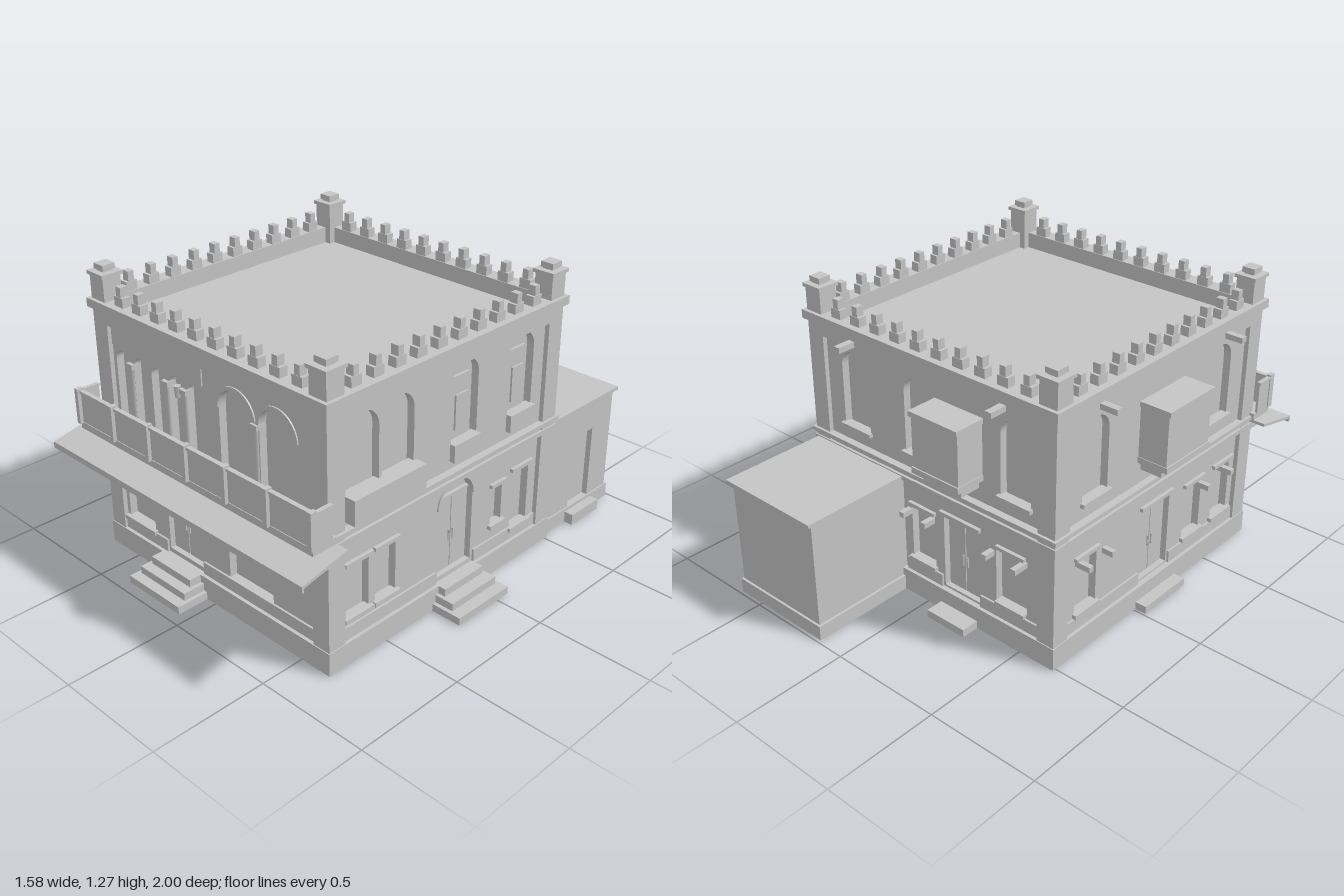
import * as THREE from 'three';

const CX = -0.0125, CZ = 0.145;   // centre of the main block
const WALL = 0.636, CORE = 0.602; // distance of wall face and of recesses from the centre

export function createModel() {
  const stone = new THREE.MeshStandardMaterial({ color: 0xc4c4c4 });
  stone.name = 'pale stone';
  const root = new THREE.Group();
  root.name = 'house';

  const add = (parent, name, geo) => {
    const m = new THREE.Mesh(geo, stone);
    m.name = name;
    parent.add(m);
    return m;
  };
  // box from min/max pairs
  const box = (parent, name, x0, x1, y0, y1, z0, z1) => {
    const m = add(parent, name, new THREE.BoxGeometry(Math.abs(x1 - x0), y1 - y0, Math.abs(z1 - z0)));
    m.position.set((x0 + x1) / 2, (y0 + y1) / 2, (z0 + z1) / 2);
    return m;
  };
  const extrude = (parent, name, shape, depth, z) => {
    const m = add(parent, name, new THREE.ExtrudeGeometry(shape, { depth, bevelEnabled: false, curveSegments: 12 }));
    m.position.z = z;
    return m;
  };
  // outline of an opening: rectangular, or round-headed with its crown at y1
  const outline = (path, u, w, y0, y1, arch) => {
    const r = w / 2;
    path.moveTo(u - r, y0);
    path.lineTo(u + r, y0);
    if (arch) {
      path.lineTo(u + r, y1 - r);
      path.absarc(u, y1 - r, r, 0, Math.PI, false);
    } else {
      path.lineTo(u + r, y1);
      path.lineTo(u - r, y1);
    }
    path.lineTo(u - r, y0);
    return path;
  };

  const house = new THREE.Group();
  house.name = 'mainBlock';
  house.position.set(CX, 0, CZ);
  root.add(house);

  // core with the roof deck on top and the raised floor below
  box(house, 'coreAndRoof', -CORE, CORE, 0.09, 1.055, -CORE, CORE);

  // square rings: hollow plinth, string courses, parapet
  const ring = (name, outer, inner, y0, y1) => {
    const s = outline(new THREE.Shape(), 0, 2 * outer, -outer, outer, false);
    s.holes.push(outline(new THREE.Path(), 0, 2 * inner, -inner, inner, false));
    const m = extrude(house, name, s, y1 - y0, 0);
    m.rotation.x = -Math.PI / 2;
    m.position.y = y0;
  };
  ring('plinth', 0.66, 0.6, 0, 0.1);
  ring('floorBandLower', 0.662, 0.6, 0.535, 0.555);
  ring('floorBandMiddle', 0.65, 0.6, 0.555, 0.575);
  ring('floorBandUpper', 0.668, 0.6, 0.575, 0.592);
  ring('frieze', 0.656, 0.6, 1.03, 1.09);
  ring('corniceUpper', 0.672, 0.6, 1.088, 1.125);

  // corner pilasters with capped posts above the roof
  for (const sx of [-1, 1]) for (const sz of [-1, 1]) {
    const c = new THREE.Group();
    c.name = 'cornerPost';
    c.position.set(sx * 0.614, 0, sz * 0.614);
    house.add(c);
    box(c, 'pilaster', -0.042, 0.042, 0.1, 1.225, -0.042, 0.042);
    box(c, 'postCap', -0.05, 0.05, 1.225, 1.24, -0.05, 0.05);
    box(c, 'postNeck', -0.022, 0.022, 1.24, 1.247, -0.022, 0.022);
    box(c, 'postKnob', -0.029, 0.029, 1.247, 1.27, -0.029, 0.029);
  }

  // one facade: wall with openings, plus merlons on its parapet
  const facade = (name, angle, toU, openings) => {
    const g = new THREE.Group();
    g.name = name;
    g.rotation.y = angle;
    house.add(g);
    const wall = outline(new THREE.Shape(), 0, 1.2, 0.1, 1.05, false);
    for (const [c, w, y0, y1, arch] of openings) {
      wall.holes.push(outline(new THREE.Path(), toU(c), w, y0, y1, arch));
    }
    extrude(g, 'wall', wall, WALL - CORE + 0.005, CORE - 0.005);
    for (let i = 0; i < 10; i++) {
      const u = (i - 4.5) * 0.111;
      box(g, 'merlonBase', u - 0.026, u + 0.026, 1.125, 1.165, 0.604, 0.642);
      box(g, 'merlonTop', u - 0.014, u + 0.014, 1.165, 1.206, 0.606, 0.64);
    }
    // block on this facade: centre, width, heights, back and front depth
    const block = (n, c, w, y0, y1, z0, z1) => box(g, n, toU(c) - w / 2, toU(c) + w / 2, y0, y1, z0, z1);
    const dado = (a, b) => block('dado', (a + b) / 2, Math.abs(b - a), 0.1, 0.155, 0.62, 0.645);
    const archTrim = (c, w, crown, t = 0.012) => {
      const r = w / 2, s = new THREE.Shape();
      s.absarc(toU(c), crown - r, r + t, 0, Math.PI, false);
      s.absarc(toU(c), crown - r, r, Math.PI, 0, true);
      extrude(g, 'archTrim', s, 0.01, WALL - 0.004);
    };
    const sill = (c, w, y) => block('sill', c, w + 0.03, y - 0.012, y + 0.006, 0.61, 0.655);
    const lintel = (c, w, y) => block('lintel', c, w + 0.025, y, y + 0.016, 0.61, 0.652);
    const doubleDoor = (c, w, y0, y1) => {
      for (const s of [-1, 1]) {
        box(g, 'doorLeaf', toU(c) + s * 0.002, toU(c) + s * w / 2, y0, y1, 0.59, 0.612);
        block('doorHandle', c + s * 0.012, 0.005, (y0 + y1) / 2 - 0.03, (y0 + y1) / 2 + 0.02, 0.605, 0.618);
      }
      block('transom', c, w, y1, y1 + 0.01, 0.59, 0.618);
    };
    const steps = (c, w, list) => list.forEach(([y, d], i) =>
      block('step', c, w - i * 0.035, i ? list[i - 1][0] : 0, y, 0.645, d));
    const beam = (c, y, d, w = 0.024) => block('beamEnd', c, w, y, y + 0.024, 0.61, d);
    // closed bay hung on brackets
    const bay = (c, w) => {
      block('bayBody', c, w - 0.012, 0.715, 0.94, 0.62, 0.768);
      block('bayLid', c, w, 0.935, 0.957, 0.62, 0.778);
      block('bayFloor', c, w - 0.006, 0.69, 0.716, 0.62, 0.774);
      block('bayBracket', c, w - 0.05, 0.65, 0.69, 0.62, 0.735);
    };
    return { g, block, dado, archTrim, sill, lintel, doubleDoor, steps, beam, bay };
  };

  // front, behind the balcony
  const loggia = [-0.522, -0.41, -0.298, -0.19, -0.083];
  const f = facade('frontFacade', 0, x => x - CX, [
    ...loggia.map(c => [c, 0.088, 0.61, 0.932, true]),
    [0.153, 0.19, 0.61, 0.99, true], [0.374, 0.19, 0.61, 0.99, true],
    [-0.48, 0.17, 0.165, 0.415, false], [-0.195, 0.21, 0.12, 0.51, true], [0.2, 0.25, 0.155, 0.42, false],
  ]);
  f.dado(-0.585, -0.31); f.dado(-0.08, 0.56);
  f.sill(-0.48, 0.17, 0.16);
  f.block('signPanel', -0.48, 0.19, 0.43, 0.475, 0.62, 0.645);
  f.block('signPanel', 0.195, 0.27, 0.45, 0.49, 0.62, 0.645);
  f.block('shopLintel', 0.2, 0.26, 0.418, 0.432, 0.61, 0.645);
  f.doubleDoor(-0.205, 0.19, 0.1, 0.415);
  f.archTrim(-0.195, 0.21, 0.51);
  f.steps(-0.207, 0.315, [[0.033, 0.805], [0.066, 0.76], [0.1, 0.715]]);
  f.block('loggiaPanel', -0.465, 0.23, 0.948, 1.02, 0.62, 0.642);
  f.block('loggiaPanel', -0.19, 0.32, 0.948, 1.02, 0.62, 0.642);
  for (const c of [0.153, 0.374]) f.archTrim(c, 0.19, 0.99, 0.014);
  for (const x of [-0.466, -0.244, -0.136, 0.263]) {
    const col = add(f.g, 'column', new THREE.CylinderGeometry(0.011, 0.012, 0.28, 12));
    col.position.set(x - CX, 0.74, 0.634);
    f.block('columnCapital', x, 0.036, 0.88, 0.9, 0.615, 0.652);
  }
  const lamp = add(f.g, 'lantern', new THREE.CylinderGeometry(0.016, 0.01, 0.05, 6));
  lamp.position.set(-0.19 - CX, 0.87, 0.632);

  // side with the high steps (+x)
  const sideWindows = [[0.635, 0.12, 0.19, 0.42], [0.485, 0.11, 0.19, 0.42],
    [-0.17, 0.07, 0.22, 0.4], [-0.322, 0.11, 0.15, 0.42]];
  const r = facade('stepSideFacade', Math.PI / 2, z => CZ - z, [
    [0.61, 0.17, 0.62, 1.015, true], [0.425, 0.17, 0.62, 1.015, true],
    [0.055, 0.15, 0.62, 1.03, true], [-0.285, 0.15, 0.62, 1.03, true],
    [0.085, 0.2, 0.12, 0.53, true], ...sideWindows,
  ]);
  r.dado(0.72, 0.2); r.dado(-0.03, -0.43);
  for (const [c, w, y0, y1] of sideWindows) { r.sill(c, w, y0); r.lintel(c, w, y1); }
  r.doubleDoor(0.085, 0.19, 0.1, 0.45);
  r.archTrim(0.085, 0.2, 0.53);
  r.steps(0.085, 0.3, [[0.033, 0.8], [0.066, 0.748], [0.1, 0.694]]);
  r.block('balconetteFront', 0.512, 0.375, 0.61, 0.715, 0.61, 0.688);
  for (const c of [0.055, -0.285]) {
    r.block('balconette', c, 0.155, 0.625, 0.7, 0.61, 0.66);
    r.block('windowPanel', c, 0.1, 0.7, 0.96, 0.59, 0.614);
    r.block('windowSash', c, 0.07, 0.735, 0.885, 0.6, 0.622);
  }

  // side with the hanging bay (-x)
  const l = facade('baySideFacade', -Math.PI / 2, z => z - CZ, [
    [-0.26, 0.15, 0.66, 1.0, true], [0.545, 0.15, 0.66, 1.0, true],
    [-0.3, 0.13, 0.17, 0.42, false], [0.41, 0.12, 0.17, 0.42, false],
    [0.62, 0.12, 0.17, 0.42, false], [0.145, 0.19, 0.11, 0.45, false],
  ]);
  l.steps(0.145, 0.27, [[0.035, 0.712]]);
  l.doubleDoor(0.145, 0.18, 0.1, 0.42);
  l.lintel(0.145, 0.19, 0.45);
  l.bay(0.145, 0.29);
  l.dado(-0.43, 0.04); l.dado(0.25, 0.72);

  // back
  const b = facade('rearFacade', Math.PI, x => CX - x, [
    [0.4, 0.15, 0.66, 1.0, true], [0.045, 0.15, 0.66, 1.0, true], [-0.46, 0.15, 0.66, 1.0, true],
    [-0.44, 0.16, 0.17, 0.42, false], [0.035, 0.13, 0.17, 0.42, false], [-0.175, 0.19, 0.11, 0.45, false],
  ]);
  b.steps(-0.175, 0.2, [[0.035, 0.74]]);
  b.doubleDoor(-0.175, 0.18, 0.1, 0.42);
  b.lintel(-0.175, 0.19, 0.45);
  b.bay(-0.175, 0.25);
  b.dado(0.13, -0.07); b.dado(-0.28, -0.585);

  // sills, lintels and beam ends of the bay side and the back
  const dressings = [
    { w: l, ground: [-0.3, 0.41, 0.62], arches: [-0.26, 0.545], high: [-0.26, 0.545], low: [-0.33, -0.19, 0.46, 0.63] },
    { w: b, ground: [-0.44, 0.035], arches: [0.4, 0.045, -0.46], high: [0.385, -0.415], low: [-0.49, -0.34, -0.01, 0.11] },
  ];
  for (const { w, ground, arches, high, low } of dressings) {
    for (const c of ground) { w.sill(c, 0.12, 0.17); w.lintel(c, 0.12, 0.42); }
    for (const c of arches) w.sill(c, 0.14, 0.66);
    for (const c of high) w.beam(c, 1.04, 0.735, 0.03);
    for (const c of low) w.beam(c, 0.376, 0.688);
  }

  // balcony across the front
  const balcony = new THREE.Group();
  balcony.name = 'balcony';
  root.add(balcony);
  box(balcony, 'balconyFloor', -0.69, 0.665, 0.575, 0.605, 0.78, 0.895);
  box(balcony, 'railPanel', -0.69, 0.665, 0.605, 0.735, 0.882, 0.892);
  box(balcony, 'railTop', -0.695, 0.672, 0.735, 0.747, 0.878, 0.898);
  for (let i = 0; i < 7; i++) {
    const x = -0.687 + i * 0.2248;
    box(balcony, 'railPost', x - 0.01, x + 0.01, 0.6, 0.755, 0.878, 0.908);
  }
  for (const x of [-0.688, 0.663]) {
    box(balcony, 'sidePanel', x - 0.005, x + 0.005, 0.6, 0.735, 0.8, 0.89);
    box(balcony, 'sideRail', x - 0.009, x + 0.009, 0.735, 0.747, 0.8, 0.89);
  }

  // sloping awning with valance and struts
  const slope = new THREE.Shape([[-0.78, 0.563], [-0.78, 0.576], [-1, 0.53], [-1, 0.517]].map(p => new THREE.Vector2(...p)));
  const awning = extrude(root, 'awning', slope, 1.465, 0);
  awning.rotation.y = Math.PI / 2;
  awning.position.x = -0.745;
  box(root, 'awningValance', -0.745, 0.72, 0.503, 0.53, 0.99, 1);
  for (const x of [-0.65, -0.2, 0.2, 0.62]) box(root, 'awningStrut', x - 0.01, x + 0.01, 0.508, 0.522, 0.78, 0.99);

  // annex behind, with a hollow plinth and a recessed door
  const annex = new THREE.Group();
  annex.name = 'annex';
  root.add(annex);
  box(annex, 'annexBody', 0.145, 0.595, 0.055, 0.54, -0.975, -0.49);
  box(annex, 'annexWall', 0.59, 0.62, 0.055, 0.54, -0.975, -0.84);
  box(annex, 'annexWall', 0.59, 0.62, 0.055, 0.54, -0.695, -0.49);
  box(annex, 'annexWallOverDoor', 0.59, 0.62, 0.4, 0.54, -0.84, -0.695);
  box(annex, 'annexPlinth', 0.133, 0.175, 0, 0.065, -0.985, -0.5);
  box(annex, 'annexPlinth', 0.585, 0.627, 0, 0.065, -0.985, -0.5);
  box(annex, 'annexPlinth', 0.175, 0.585, 0, 0.065, -0.985, -0.945);
  box(annex, 'annexRoof', 0.128, 0.63, 0.535, 0.55, -1, -0.5);
  box(annex, 'annexStep', 0.61, 0.668, 0, 0.05, -0.86, -0.67);
  return root;
}
